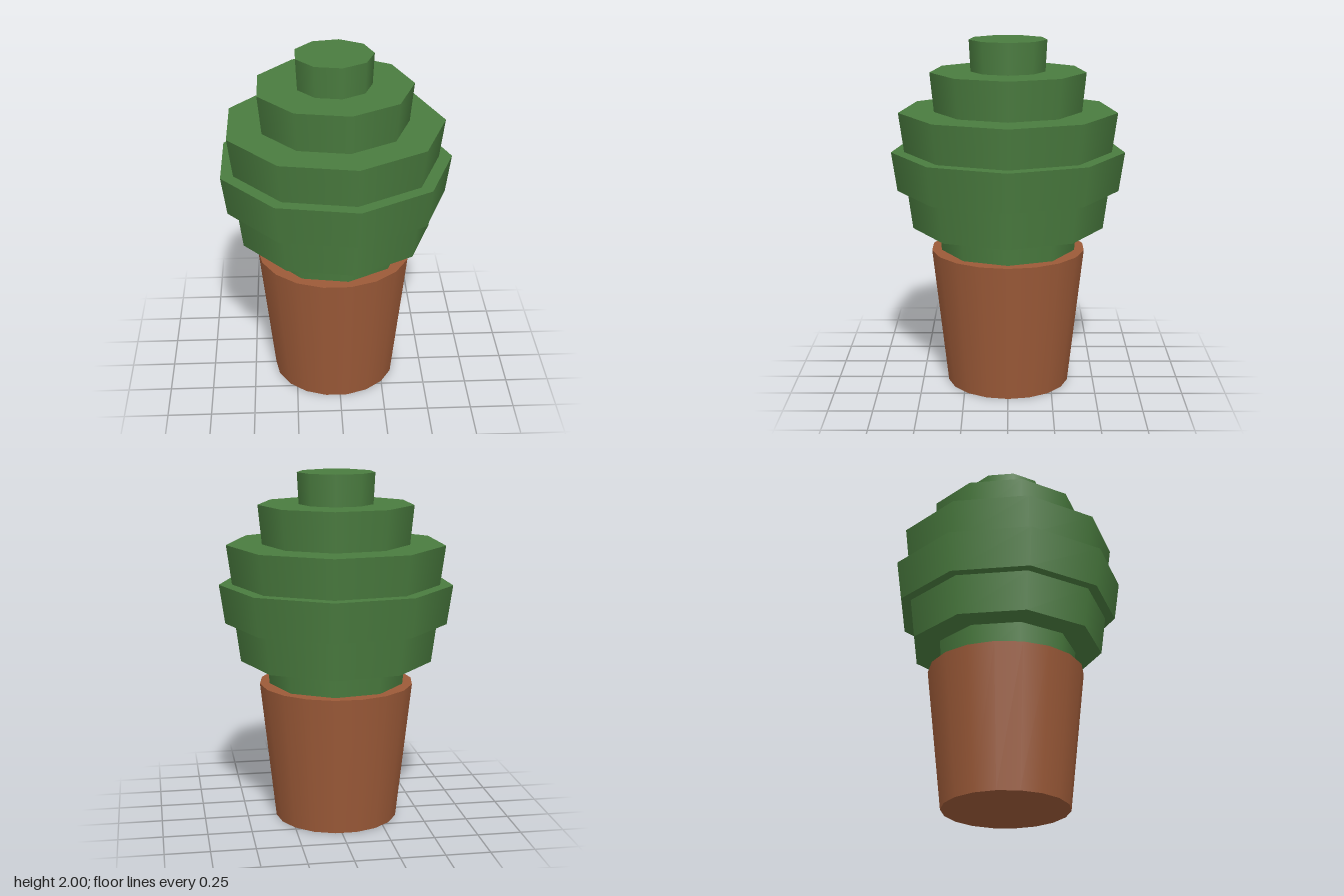
import * as THREE from 'three';

const green = new THREE.MeshStandardMaterial({ color: 0x4a7c3f });
green.name = 'leafGreen';
const terracotta = new THREE.MeshStandardMaterial({ color: 0x9c5a38 });
terracotta.name = 'terracotta';

// Tapered drum with its first corner on +x
function drum(name, rTop, rBottom, y0, y1, sides, material) {
  const geometry = new THREE.CylinderGeometry(rTop, rBottom, y1 - y0, sides);
  geometry.rotateY(Math.PI / 2);
  const mesh = new THREE.Mesh(geometry, material);
  mesh.name = name;
  mesh.position.set(-0.022, (y0 + y1) / 2, 0);
  return mesh;
}

export function createModel() {
  const model = new THREE.Group();
  model.name = 'pottedTree';

  // Pot
  model.add(drum('pot', 0.442, 0.354, 0, 0.8, 18, terracotta));

  // Nine-sided foliage tiers: top radius, bottom radius, bottom y, top y
  const tiers = [
    [0.398, 0.378, 0.715, 0.937],
    [0.577, 0.548, 0.937, 1.158],
    [0.665, 0.633, 1.158, 1.38],
    [0.621, 0.591, 1.38, 1.602],
    [0.442, 0.42, 1.602, 1.823],
    [0.221, 0.212, 1.823, 2],
  ];
  const foliage = new THREE.Group();
  foliage.name = 'foliage';
  tiers.forEach(([rTop, rBottom, y0, y1], i) => {
    foliage.add(drum(`foliageTier${i + 1}`, rTop, rBottom, y0, y1, 9, green));
  });
  model.add(foliage);

  return model;
}
